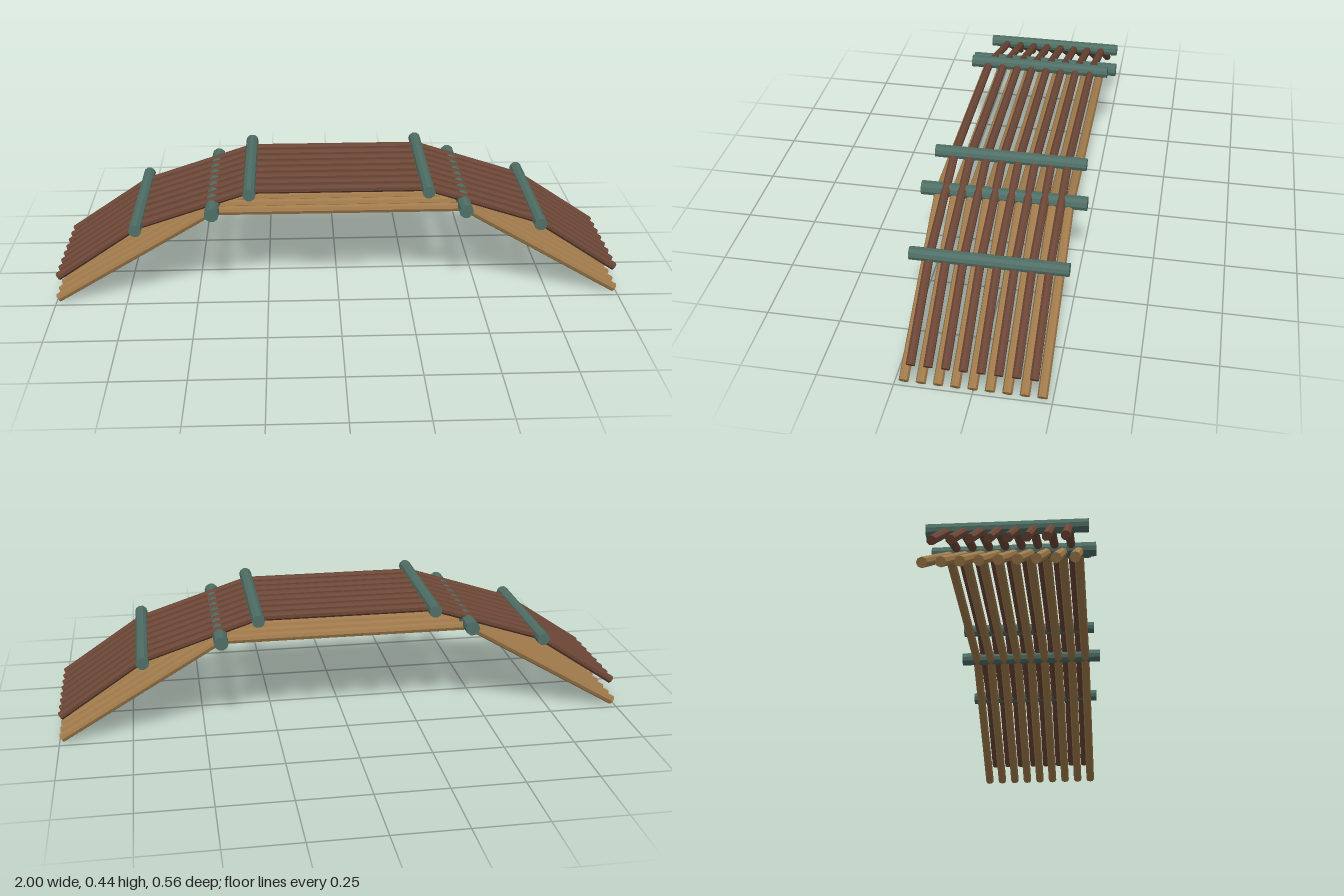
import * as THREE from 'three';

const material = (name, color) => {
  const m = new THREE.MeshStandardMaterial({ color, flatShading: true });
  m.name = name;
  return m;
};

export function createModel() {
  const model = new THREE.Group();
  model.name = 'archedLogBridge';
  const tan = material('tan wood', 0xa07a4b);
  const brown = material('dark brown wood', 0x6b4636);
  const green = material('grey green wood', 0x4f6e65);

  // A layer of parallel logs, each following the same bent path in x and y
  function logLayer(name, path, radius, turn, count, spacing, mat) {
    const layer = new THREE.Group();
    layer.name = name;
    for (let s = 0; s < path.length - 1; s++) {
      const [x0, y0] = path[s];
      const [x1, y1] = path[s + 1];
      const geometry = new THREE.CylinderGeometry(radius, radius, Math.hypot(x1 - x0, y1 - y0), 8);
      geometry.rotateY(turn);
      geometry.rotateZ(Math.atan2(y1 - y0, x1 - x0) - Math.PI / 2);
      geometry.translate((x0 + x1) / 2, (y0 + y1) / 2, 0);
      for (let i = 0; i < count; i++) {
        const log = new THREE.Mesh(geometry, mat);
        log.name = name + 'Log';
        log.position.z = (i - (count - 1) / 2) * spacing;
        layer.add(log);
      }
    }
    model.add(layer);
  }

  // Lower layer has three spans, upper layer has five
  logLayer('lower', [[-0.992, 0.015], [-0.437, 0.344], [0.437, 0.344], [0.992, 0.015]],
    0.0163, 0, 9, 0.0547, tan);
  logLayer('upper', [[-0.992, 0.0865], [-0.702, 0.281], [-0.308, 0.41],
    [0.308, 0.41], [0.702, 0.281], [0.992, 0.0865]],
    0.0145, Math.PI / 8, 8, 0.0553, brown);

  // Crossbars at the bends, mirrored left and right: x, y, radius, length
  const bars = [
    ['upperCrossbar', 0.307, 0.4165, 0.0225, 0.515],
    ['middleCrossbar', 0.436, 0.3525, 0.0248, 0.556],
    ['lowerCrossbar', 0.702, 0.2885, 0.0225, 0.515],
  ];
  for (const [name, x, y, radius, length] of bars) {
    const geometry = new THREE.CylinderGeometry(radius, radius, length, 10);
    geometry.rotateY(Math.PI / 2);
    geometry.rotateX(Math.PI / 2);
    for (const side of [-1, 1]) {
      const bar = new THREE.Mesh(geometry, green);
      bar.name = (side > 0 ? 'left ' : 'right ') + name;
      bar.position.set(side * x, y, 0);
      model.add(bar);
    }
  }
  return model;
}
